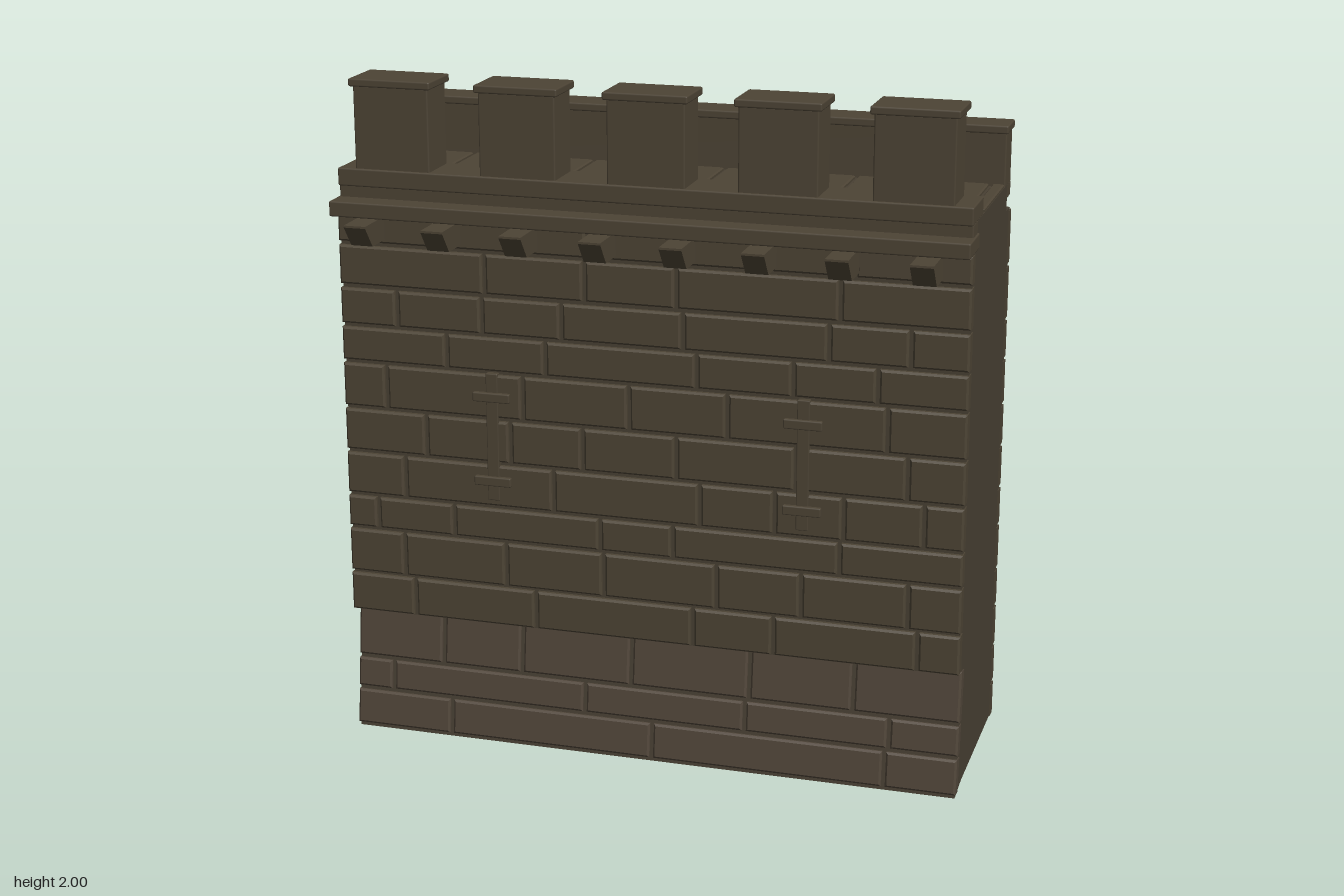
import * as THREE from 'three';
import { mergeGeometries } from 'three/addons/utils/BufferGeometryUtils.js';
import { RoundedBoxGeometry } from 'three/addons/geometries/RoundedBoxGeometry.js';

const HALF = 0.92;      // half length of the wall
const GAP = 0.012;      // mortar joint width

const material = (name, color) => {
  const m = new THREE.MeshStandardMaterial({ color });
  m.name = name;
  return m;
};

// Stone block with a chamfered outer (+z) face; zFace is the outer plane
function stone(x0, x1, y0, y1, zFace, depth = 0.04, bevel = 0.006) {
  const w = x1 - x0, h = y1 - y0;
  const g = new THREE.BoxGeometry(w, h, depth, 1, 1, 2);
  const p = g.attributes.position;
  for (let i = 0; i < p.count; i++) {
    const z = p.getZ(i);
    if (z > 0.001) {
      p.setX(i, p.getX(i) * (1 - 2 * bevel / w));
      p.setY(i, p.getY(i) * (1 - 2 * bevel / h));
    } else if (z > -0.001) p.setZ(i, depth / 2 - bevel);
  }
  const flat = g.toNonIndexed();
  flat.computeVertexNormals();
  return flat.translate((x0 + x1) / 2, (y0 + y1) / 2, zFace - depth / 2);
}

// One course of stones split at the given joints
function course(y0, y1, joints, zFace) {
  const xs = [-HALF - 0.003, ...joints, HALF + 0.003];
  return xs.slice(1).map((x, i) => stone(
    xs[i] + (i ? GAP / 2 : 0), x - (i < xs.length - 2 ? GAP / 2 : 0), y0, y1, zFace));
}

// Solid running along x from a side profile of [z, y] points
function prism(points, width) {
  const shape = new THREE.Shape(points.map(([z, y]) => new THREE.Vector2(z, y)));
  return new THREE.ExtrudeGeometry(shape, { depth: width, bevelEnabled: false })
    .rotateY(-Math.PI / 2).translate(width / 2, 0, 0);
}

// Box given by its limits, with slightly softened edges
function block(x0, x1, y0, y1, z0, z1, r = 0.005) {
  return new RoundedBoxGeometry(x1 - x0, y1 - y0, z1 - z0, 1, r)
    .translate((x0 + x1) / 2, (y0 + y1) / 2, (z0 + z1) / 2);
}

export function createModel() {
  const model = new THREE.Group();
  model.name = 'castleWall';
  const masonry = material('stone', 0x4d4435);
  const warm = material('warmStone', 0x51463a);
  const mortar = material('mortar', 0x484033);
  const add = (name, geometry, mat = masonry, parent = model) => {
    const mesh = new THREE.Mesh(geometry, mat);
    mesh.name = name;
    parent.add(mesh);
    return mesh;
  };

  // Wall core with recesses under both parapets
  add('wallCore', prism([
    [-0.25, 0.015], [0.25, 0.015], [0.348, 0.002], [0.302, 0.385], [0.35, 0.385],
    [0.35, 1.61], [0.29, 1.61], [0.29, 1.69], [-0.19, 1.69], [-0.19, 1.61], [-0.25, 1.61],
  ], HALF * 2), mortar);

  // Leaning foot courses on the front
  const foot = [
    [0.015, 0.12, [-0.62, 0.01, 0.71]],
    [0.132, 0.22, [-0.81, -0.2, 0.29, 0.72]],
    [0.232, 0.383, [-0.65, -0.4, -0.06, 0.3, 0.61]],
  ];
  const footMesh = add('footStones', mergeGeometries(
    foot.flatMap(([a, b, j]) => course(a, b, j, 0))), warm);
  footMesh.position.z = 0.361;
  footMesh.rotation.x = -0.12;

  // Upright front courses
  const front = [
    [0.39, 0.505, [-0.72, -0.34, 0.14, 0.38, 0.8]],
    [0.515, 0.645, [-0.75, -0.43, -0.13, 0.21, 0.46, 0.77]],
    [0.657, 0.75, [-0.83, -0.59, -0.14, 0.08, 0.57]],
    [0.762, 0.885, [-0.74, -0.28, 0.16, 0.38, 0.58, 0.81]],
    [0.897, 1.02, [-0.67, -0.41, -0.19, 0.09, 0.44, 0.76]],
    [1.032, 1.16, [-0.79, -0.37, -0.05, 0.24, 0.7]],
    [1.172, 1.27, [-0.6, -0.3, 0.15, 0.43, 0.67]],
    [1.282, 1.387, [-0.75, -0.49, -0.25, 0.11, 0.53, 0.76]],
    [1.4, 1.515, [-0.48, -0.18, 0.09, 0.56]],
    [1.527, 1.605, [-0.62, -0.17, 0.1, 0.32, 0.6]],
  ];
  add('frontStones', mergeGeometries(front.flatMap(([a, b, j]) => course(a, b, j, 0.366))));

  // Back courses with seeded joint positions
  let seed = 7;
  const rand = () => (seed = (seed * 16807) % 2147483647) / 2147483647;
  const levels = [0.015, 0.13, 0.25, 0.38, 0.5, 0.64, 0.76, 0.89, 1.02, 1.16, 1.28, 1.445, 1.615];
  const back = levels.slice(1).flatMap((top, i) => {
    const joints = [];
    for (let x = -HALF + 0.12 + rand() * 0.25; x < HALF - 0.1; x += 0.23 + rand() * 0.2) joints.push(x);
    return course(levels[i], top - GAP, joints, 0.265);
  });
  add('backStones', mergeGeometries(back)).rotation.y = Math.PI;

  // Walkway slabs
  const slabs = [-0.925, -0.69, -0.475, -0.31, -0.08, 0.095, 0.27, 0.49, 0.69, 0.88, 0.925];
  const deck = slabs.slice(1).map((x, i) =>
    stone(slabs[i] + 0.006, x - 0.006, -0.185, 0.14, 1.7, 0.03, 0.004));
  add('walkwaySlabs', mergeGeometries(deck).rotateX(-Math.PI / 2));

  // Front string course, parapet and merlons
  add('frontStringCourse', block(-0.925, 0.925, 1.61, 1.655, 0.28, 0.42));
  add('frontLedge', block(-0.92, 0.92, 1.645, 1.692, 0.24, 0.35));
  add('frontParapet', block(-0.92, 0.92, 1.688, 1.74, 0.205, 0.36));
  for (let i = -2; i <= 2; i++) {
    const merlon = new THREE.Group();
    merlon.name = 'merlon';
    merlon.position.x = i * 0.377;
    add('merlonBody', block(-0.113, 0.113, 1.735, 1.98, 0.213, 0.352), masonry, merlon);
    add('merlonCap', block(-0.123, 0.123, 1.977, 2, 0.203, 0.363), masonry, merlon);
    model.add(merlon);
  }

  // Corbels with undercut noses
  for (let i = 0; i < 8; i++) {
    add('corbel', prism([[0.34, 1.54], [0.455, 1.54], [0.504, 1.602], [0.504, 1.608], [0.34, 1.608]], 0.065))
      .position.x = (i - 3.5) * 0.2317;
  }

  // Back parapet
  add('backStringCourse', block(-0.92, 0.92, 1.645, 1.69, -0.25, -0.18));
  add('backParapet', block(-0.92, 0.92, 1.685, 1.85, -0.245, -0.152));
  add('backCoping', block(-0.925, 0.925, 1.843, 1.867, -0.257, -0.142));

  // Arrow slits with cross bars
  for (const side of [-1, 1]) {
    const slit = new THREE.Group();
    slit.name = 'arrowSlit';
    slit.position.x = side * 0.462;
    add('slitBar', block(-0.018, 0.018, 0.78, 1.165, 0.34, 0.369, 0.003), masonry, slit);
    for (const y of [0.84, 1.095]) {
      add('crossBar', block(-0.056, 0.056, y - 0.014, y + 0.014, 0.34, 0.379, 0.004), masonry, slit);
    }
    model.add(slit);
  }

  // Tapered back buttress with a chamfered head
  const halfWidth = (y) => 0.153 - 0.028 * y;
  const outer = (y) => -0.5 + 0.09 * y;
  const g = new THREE.BoxGeometry(2, 1, 1, 1, 2, 1);
  const p = g.attributes.position;
  for (let i = 0; i < p.count; i++) {
    const y = [0.02, 1.2, 1.222][Math.round(p.getY(i) * 2) + 1];
    const inset = y > 1.21 ? 0.015 : 0;
    p.setXYZ(i, Math.sign(p.getX(i)) * (halfWidth(y) - inset), y,
      p.getZ(i) > 0 ? -0.24 : outer(y) + inset);
  }
  const buttress = g.toNonIndexed();
  buttress.computeVertexNormals();
  add('buttress', buttress, warm);
  for (const [y, z] of [[0.25, -0.504], [0.53, -0.492], [0.805, -0.478]]) {
    const w = halfWidth(y) + 0.01;
    add('buttressBand', block(-w, w, y - 0.006, y + 0.006, z, -0.25, 0.002), warm);
  }
  return model;
}
